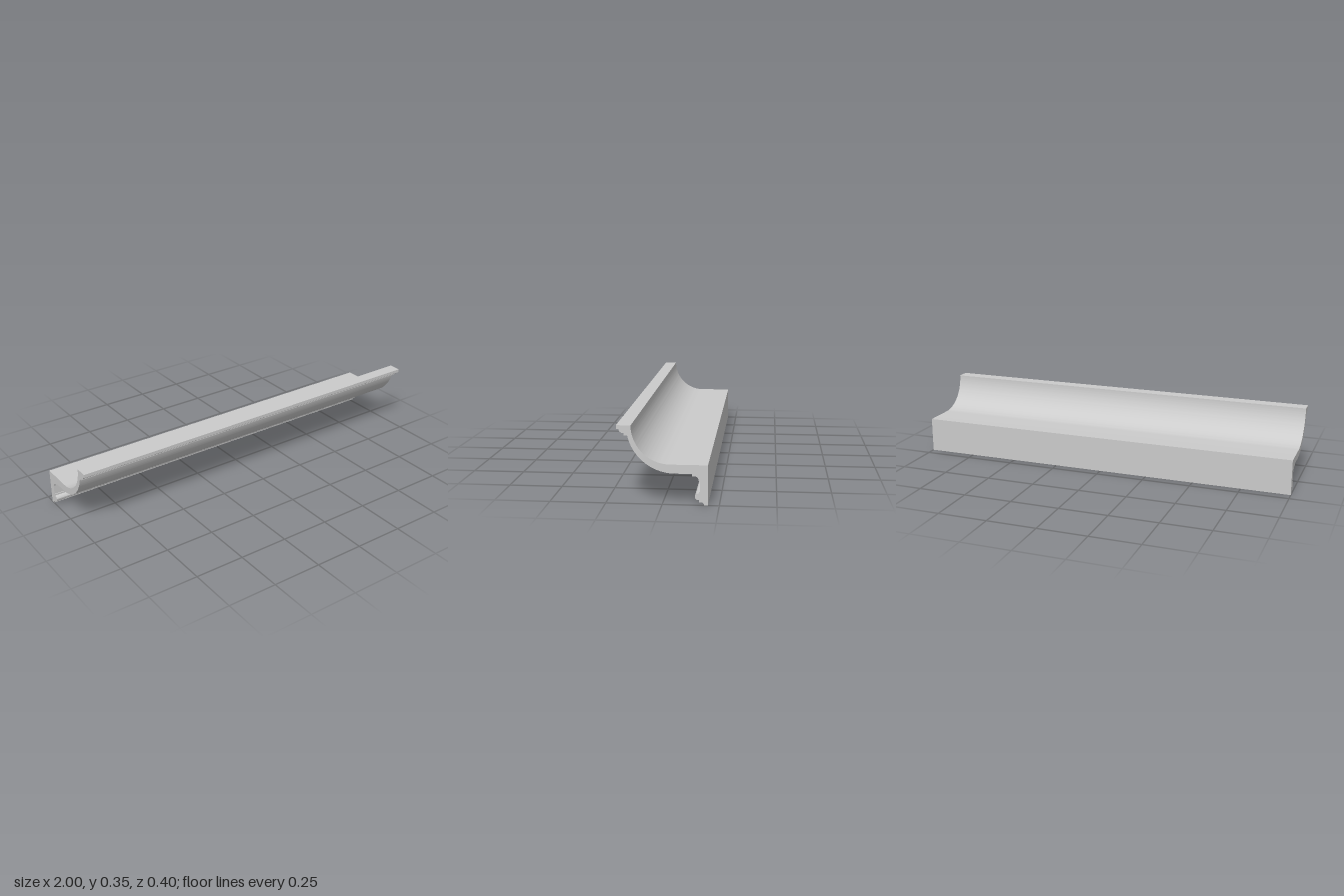
import * as THREE from 'three';
import { toCreasedNormals } from 'three/addons/utils/BufferGeometryUtils.js';

// Cross-section: shape x is the depth (z) of the moulding, shape y is its height.
function crossSection() {
  const s = new THREE.Shape();
  const H = Math.PI / 2;
  const lines = (...pts) => pts.forEach(([z, y]) => s.lineTo(z, y));

  // top lip with a small rounded step below it
  s.moveTo(0.136, 0.35);
  lines([0.2, 0.35], [0.2, 0.333], [0.189, 0.333]);
  s.absellipse(0.166, 0.333, 0.023, 0.018, 0, -H, true);
  lines([0.166, 0.305], [0.151, 0.305]);

  // outer face of the large cove, then the flat soffit
  s.absarc(-0.054, 0.35, 0.21, -Math.asin(0.045 / 0.21), -H, true);
  lines([-0.13, 0.14], [-0.13, 0.13], [-0.14, 0.13]);

  // small hollow, then the plain wall band
  s.absarc(-0.14, 0.11, 0.02, H, Math.PI, false);
  lines([-0.166, 0.11], [-0.166, 0.06], [-0.161, 0.06], [-0.161, 0.0525], [-0.1575, 0.0525]);

  // half-round bead
  s.absarc(-0.1575, 0.038, 0.0145, H, -H, true);
  lines([-0.161, 0.0235], [-0.161, 0.014], [-0.171, 0.014]);

  // bottom hollow, foot and back
  s.absarc(-0.171, 0.002, 0.012, H, Math.PI, false);
  lines([-0.183, 0], [-0.2, 0], [-0.2, 0.18], [-0.034, 0.18]);

  // inner face of the large cove
  s.absarc(-0.034, 0.35, 0.17, -H, 0, false);
  return s;
}

export function createModel() {
  const group = new THREE.Group();
  group.name = 'corniceMoulding';

  const extrusion = new THREE.ExtrudeGeometry(crossSection(), {
    depth: 2,
    bevelEnabled: false,
    curveSegments: 24,
  });
  // centre the length and turn it along x
  extrusion.translate(0, 0, -1).rotateY(-Math.PI / 2);

  const cornice = new THREE.Mesh(
    toCreasedNormals(extrusion, Math.PI / 7),
    new THREE.MeshStandardMaterial({ color: 0xcccccc })
  );
  cornice.name = 'cornice';
  group.add(cornice);
  return group;
}
